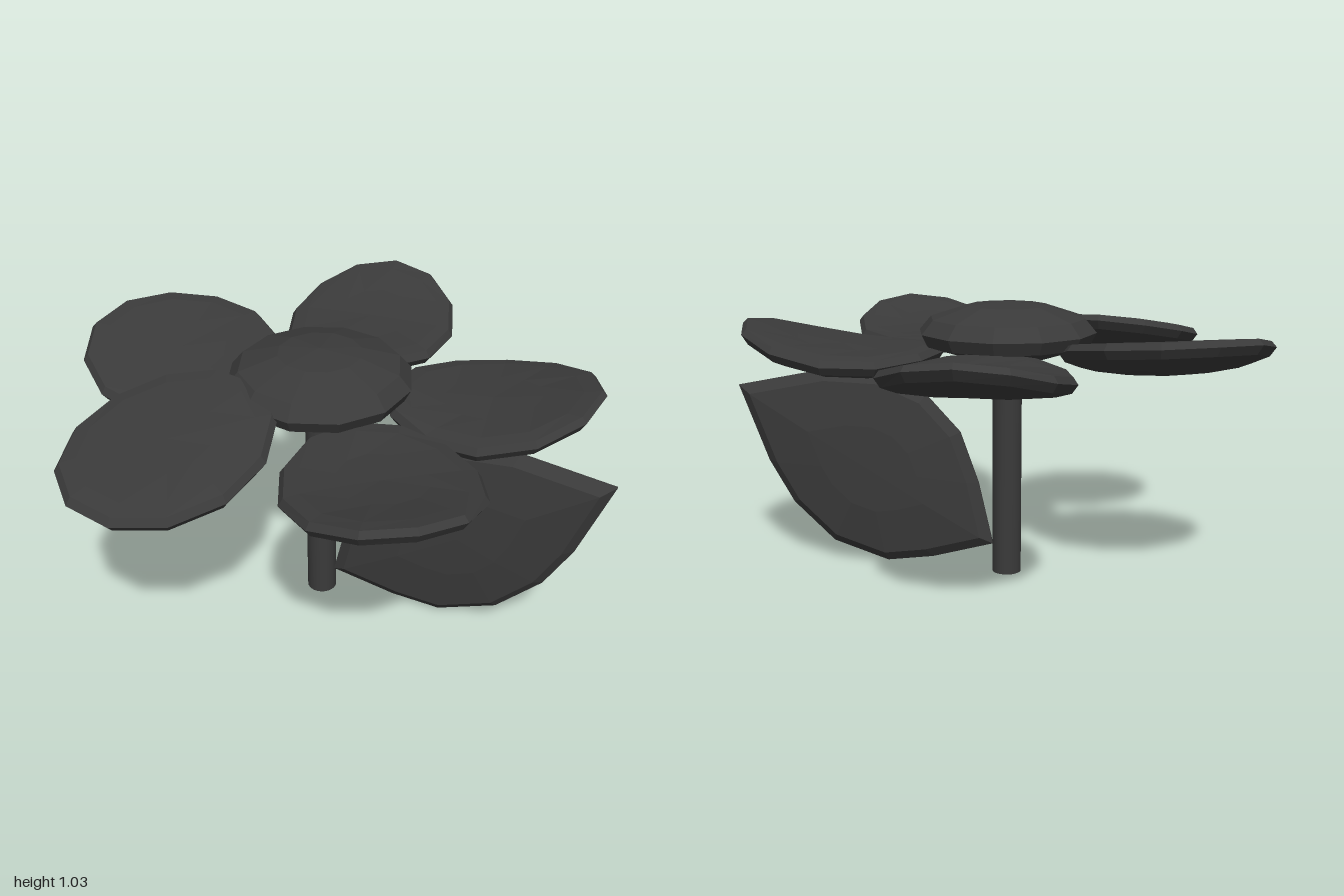
import * as THREE from 'three';

const CX = -0.05, CZ = 0.042; // flower axis
const flat = new THREE.MeshStandardMaterial({ color: 0x3a3a3a, flatShading: true });
const smooth = new THREE.MeshStandardMaterial({ color: 0x3a3a3a });

// Closed cushion: a counter-clockwise outline repeated at [scale, height] rings from
// top centre to bottom centre; place(a, b, h) maps each corner into the model.
function cushion(name, outline, rings, place) {
  const pos = [], n = outline.length;
  const put = (ring, j) => {
    const [a, b] = outline[j % n];
    pos.push(...place(a * ring[0], b * ring[0], ring[1]));
  };
  for (let i = 0; i < rings.length - 1; i++) {
    const A = rings[i], B = rings[i + 1];
    for (let j = 0; j < n; j++) {
      if (B[0] > 0) { put(B, j); put(B, j + 1); put(A, j + 1); }
      if (A[0] > 0) { put(B, j); put(A, j + 1); put(A, j); }
    }
  }
  const geo = new THREE.BufferGeometry();
  geo.setAttribute('position', new THREE.Float32BufferAttribute(pos, 3));
  geo.computeVertexNormals();
  const mesh = new THREE.Mesh(geo, flat);
  mesh.name = name;
  return mesh;
}

const polygon = (n, ra, rb) => Array.from({ length: n }, (_, i) => {
  const t = (i / n) * Math.PI * 2;
  return [Math.cos(t) * ra, Math.sin(t) * rb];
});

// Petal at (x, z), pointing along an angle, curled up at the tip and sloped along z
function petal(name, { x, z, angle, y = 0.845, rise = 0.045, curl = 0.06, slope = 0 }) {
  const L = 0.375, W = 0.325, t = THREE.MathUtils.degToRad(angle);
  const rings = [[0, 0.04], [0.45, 0.038], [0.8, 0.034], [0.95, 0.025], [1, 0],
    [0.94, -0.028], [0.78, -0.042], [0.42, -0.05], [0, -0.052]];
  return cushion(name, polygon(12, L, W), rings, (a, b, h) => {
    const u = a / L;
    const dx = a * Math.cos(t) - b * Math.sin(t);
    const dz = -(a * Math.sin(t) + b * Math.cos(t));
    return [x + dx, y + h + rise * u + curl * u * u + slope * dz, z + dz];
  });
}

export function createModel() {
  const group = new THREE.Group();

  // Stem
  const stem = new THREE.Mesh(new THREE.CylinderGeometry(0.055, 0.055, 0.88, 24), smooth);
  stem.position.set(CX, 0.44, CZ);
  stem.name = 'stem';
  group.add(stem);

  // Domed flower centre
  const dome = [[0, 1.035], [0.45, 1.02], [0.87, 0.975], [1, 0.925], [0.93, 0.88], [0.5, 0.835], [0, 0.825]];
  group.add(cushion('flowerCentre', polygon(12, 0.327, 0.327), dome,
    (a, b, h) => [CX + a, h, CZ - b]));

  // Five petals; the two on the right side of the flower lean towards the front
  group.add(
    petal('backPetal', { x: -0.04, z: -0.55, angle: 90 }),
    petal('leftPetal', { x: 0.54, z: -0.07, angle: 2 }),
    petal('frontLeftPetal', { x: 0.315, z: 0.53, angle: -58 }),
    petal('frontRightPetal', { x: -0.405, z: 0.53, angle: -122, y: 0.855, rise: 0, curl: 0.02, slope: -0.23 }),
    petal('rightPetal', { x: -0.625, z: -0.07, angle: 178, y: 0.855, rise: 0.02, curl: 0.03, slope: -0.25 }),
  );

  // Pointed leaf standing beside the stem
  const lx = 0.48, ly = 0.39;
  const edge = [[0.005, 0.1], [0.24, 0.035], [0.42, 0.01], [0.635, 0.08], [0.795, 0.23], [0.89, 0.395], [1, 0.69],
    [0.67, 0.757], [0.44, 0.75], [0.26, 0.675], [0.13, 0.535], [0.06, 0.34]];
  const bulge = [[0, 0.058], [0.45, 0.053], [0.9, 0.033], [1, 0.004],
    [1, -0.004], [0.9, -0.033], [0.45, -0.053], [0, -0.058]];
  group.add(cushion('leaf', edge.map(([x, y]) => [x - lx, y - ly]), bulge,
    (a, b, h) => [lx + a, ly + b, 0.055 + h]));

  return group;
}
